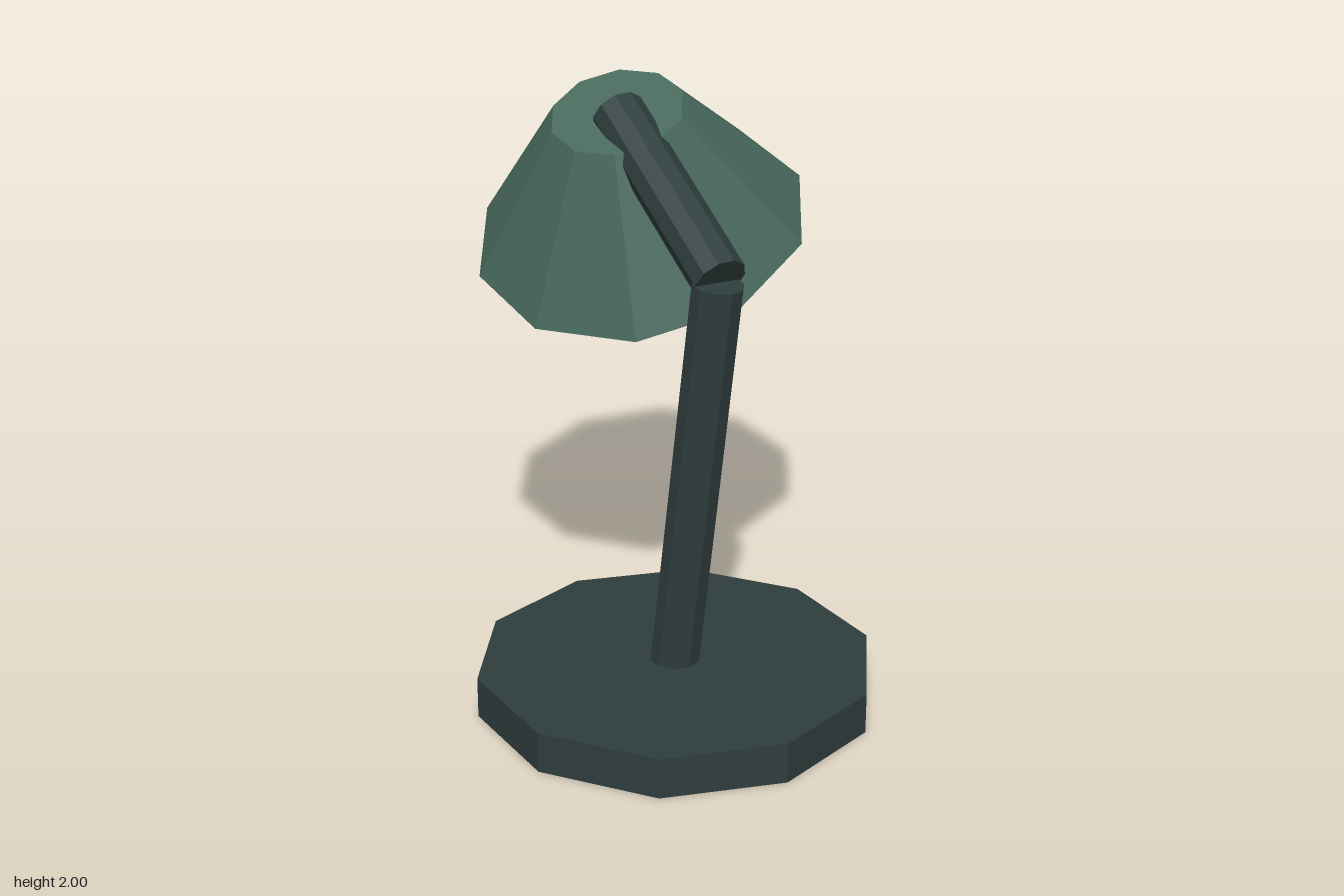
import * as THREE from 'three';

const SIDES = 10;

export function createModel() {
  const lamp = new THREE.Group();
  lamp.name = 'deskLamp';

  const metal = new THREE.MeshStandardMaterial({ color: 0x2f3d3d, flatShading: true });
  metal.name = 'dark slate metal';
  const green = new THREE.MeshStandardMaterial({ color: 0x48695d, flatShading: true });
  green.name = 'muted green';

  // Ten-sided solid around its own y axis, tilted about z and then x
  function addSolid(name, material, rTop, rBottom, height, centre, tiltX = 0, tiltZ = 0) {
    const mesh = new THREE.Mesh(new THREE.CylinderGeometry(rTop, rBottom, height, SIDES), material);
    mesh.name = name;
    mesh.position.copy(centre);
    mesh.rotation.set(tiltX, 0, tiltZ);
    lamp.add(mesh);
    return mesh;
  }

  // Straight rod between two points
  function addRod(name, radius, from, to) {
    const d = to.clone().sub(from);
    const length = d.length();
    const centre = from.clone().add(to).multiplyScalar(0.5);
    addSolid(name, metal, radius, radius, length, centre, Math.atan2(d.z, d.y), -Math.asin(d.x / length));
  }

  // Base disc
  addSolid('base', metal, 0.675, 0.675, 0.14, new THREE.Vector3(0.2, 0.07, 0.125));

  // Arms meeting at the elbow
  addRod('lowerArm', 0.085, new THREE.Vector3(0.193, 0.08, 0.127), new THREE.Vector3(0.369, 1.505, 0.127));
  addRod('upperArm', 0.09, new THREE.Vector3(0.37, 1.515, 0.118), new THREE.Vector3(-0.232, 1.909, -0.083));

  // Closed conical shade, tipped back and sideways
  addSolid('shade', green, 0.226, 0.577, 0.495, new THREE.Vector3(-0.27, 1.685, -0.182), 0.41, -0.14);

  return lamp;
}
